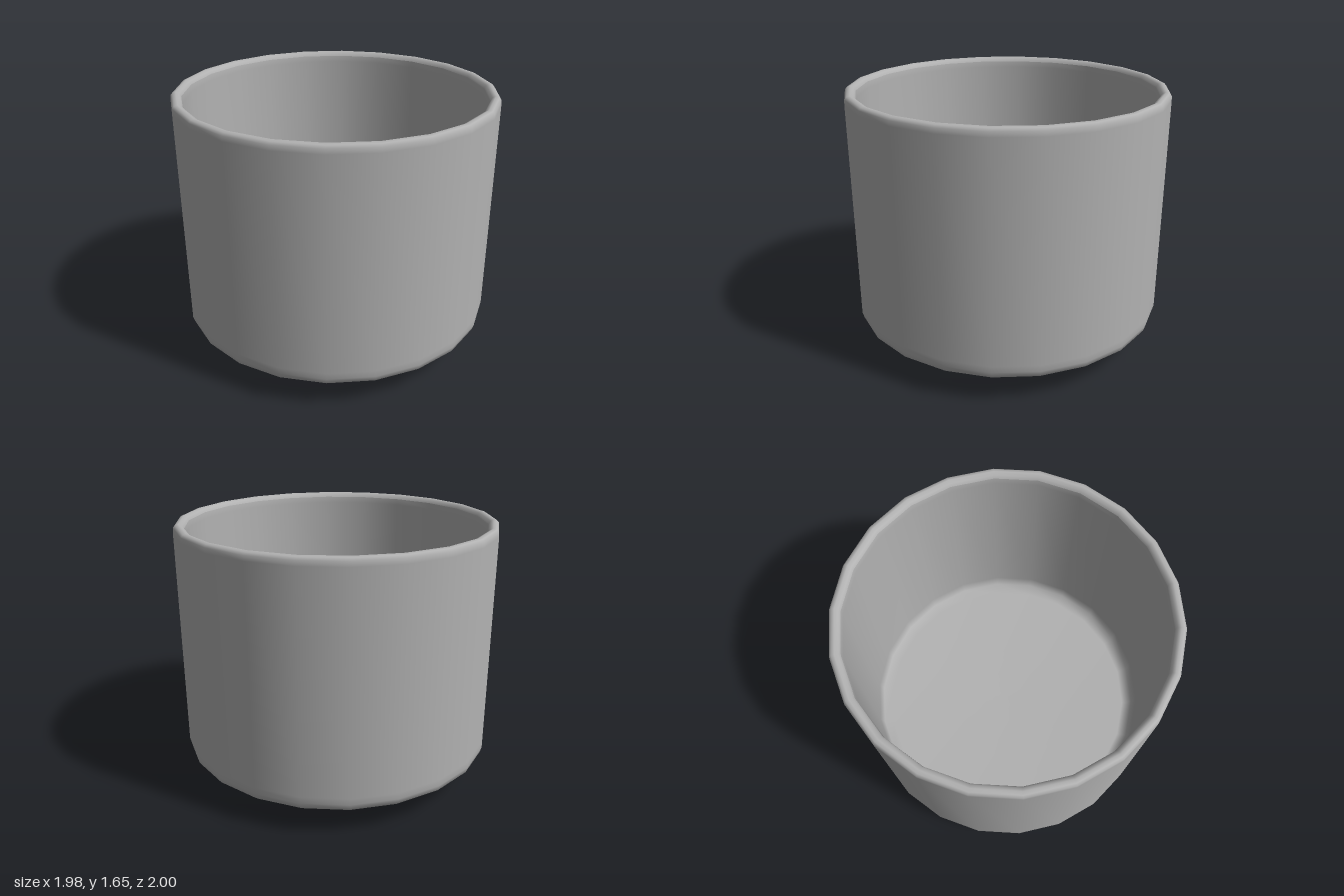
import * as THREE from 'three';

const SIDES = 22;

// Turns a list of [radius, height] pairs into a revolved mesh
function turned(name, profile, material) {
  const points = profile.map(([r, y]) => new THREE.Vector2(r, y));
  const mesh = new THREE.Mesh(new THREE.LatheGeometry(points, SIDES), material);
  mesh.name = name;
  return mesh;
}

export function createModel() {
  const group = new THREE.Group();
  group.name = 'footedPot';
  const grey = new THREE.MeshStandardMaterial({ color: 0xb2b2b2 });
  grey.name = 'plain grey';

  // Outer shell: underside, small rounded corner, straight wall, soft rim
  group.add(turned('outerWall', [
    [0.6, 0.16], [0.94, 0.16], [0.965, 0.165], [0.99, 0.185], [1, 0.22],
    [1, 0.26], [1, 1.6], [0.998, 1.63], [0.985, 1.645],
    [0.965, 1.65], [0.945, 1.64], [0.935, 1.62],
  ], grey));

  // Hollow inside: straight wall rounding into a floor with a smooth centre
  group.add(turned('innerWall', [
    [0.935, 1.62], [0.93, 1.58], [0.93, 0.34], [0.91, 0.27], [0.85, 0.23], [0, 0.22],
  ], grey));

  // Low foot with a slight taper, and its flat base
  group.add(turned('footSide', [[0.615, 0], [0.63, 0.165]], grey));
  group.add(turned('footBase', [[0, 0], [0.615, 0]], grey));

  return group;
}
